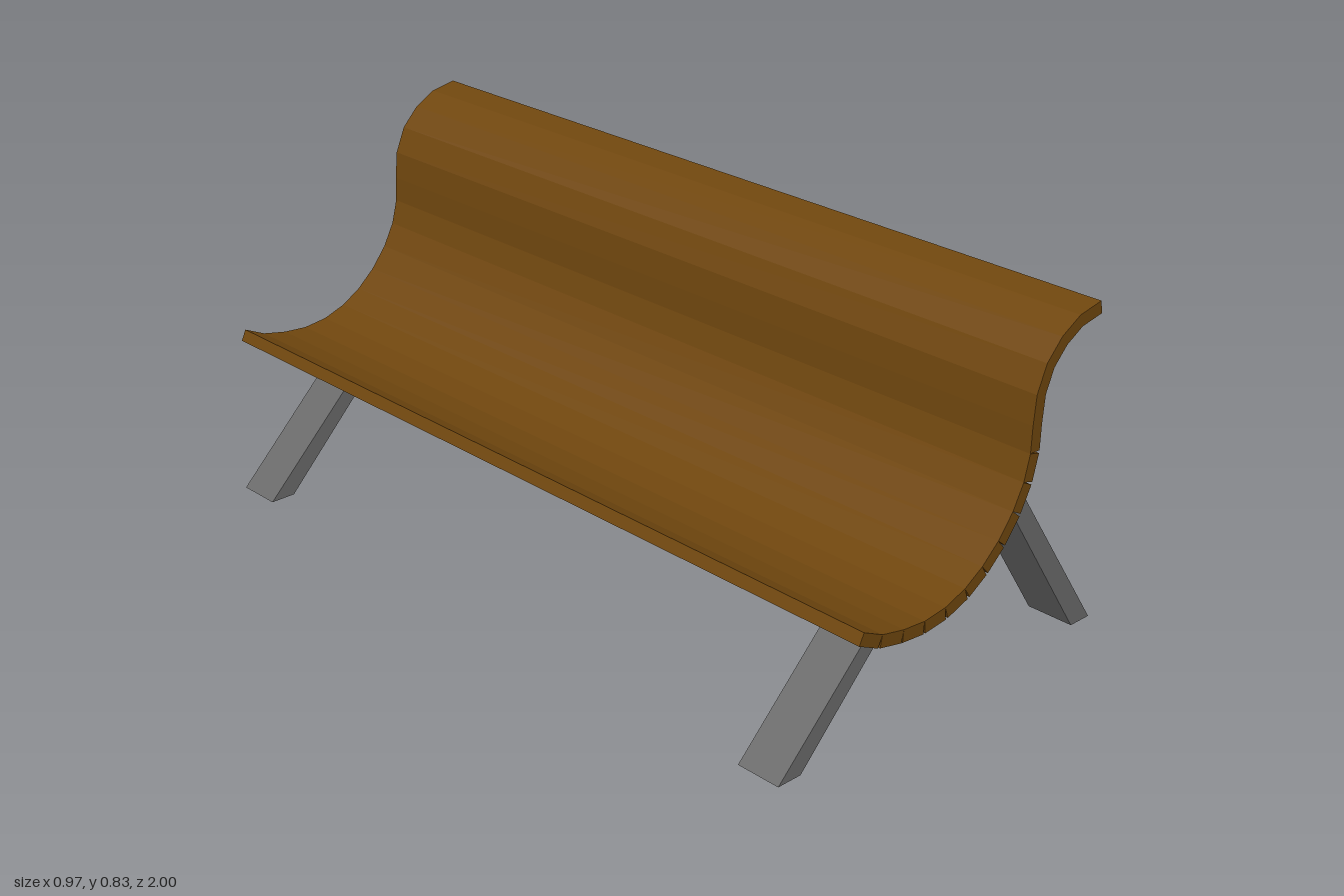
import * as THREE from 'three';

const wood = new THREE.MeshStandardMaterial({ color: 0x6f460e });
wood.name = 'brown wood';
const metal = new THREE.MeshStandardMaterial({ color: 0x6a6a6a });
metal.name = 'grey metal';

// Prism with an outline in x, y, running from z0 to z1
function prism(name, points, z0, z1, material) {
  const shape = new THREE.Shape(points.map(([x, y]) => new THREE.Vector2(x, y)));
  const geometry = new THREE.ExtrudeGeometry(shape, { depth: z1 - z0, bevelEnabled: false });
  geometry.translate(0, 0, z0);
  const mesh = new THREE.Mesh(geometry, material);
  mesh.name = name;
  return mesh;
}

export function createModel() {
  const bench = new THREE.Group();
  bench.name = 'bench';

  // Sitting surface from the front lip to the rolled top of the backrest
  const profile = [
    [-0.384, 0.347], [-0.331, 0.322], [-0.27, 0.309], [-0.21, 0.304], [-0.15, 0.311],
    [-0.093, 0.331], [-0.044, 0.361], [0.001, 0.401], [0.041, 0.451], [0.069, 0.505],
    [0.084, 0.562], [0.086, 0.621], [0.092, 0.685], [0.117, 0.744], [0.159, 0.788],
    [0.212, 0.818], [0.276, 0.83],
  ];
  const thickness = 0.028;

  // Rectangular slats hinged on the sitting surface, so gaps open underneath
  const slats = new THREE.Group();
  slats.name = 'slats';
  for (let i = 0; i < profile.length - 1; i++) {
    const [ax, ay] = profile[i];
    const [bx, by] = profile[i + 1];
    const length = Math.hypot(bx - ax, by - ay);
    const nx = ((by - ay) / length) * thickness;
    const ny = (-(bx - ax) / length) * thickness;
    const outline = [[ax, ay], [ax + nx, ay + ny], [bx + nx, by + ny], [bx, by]];
    slats.add(prism(i < 8 ? 'seatSlat' : 'backSlat', outline, -1, 1, wood));
  }
  bench.add(slats);

  // Slanted legs, one pair near each end
  const frontLeg = [[-0.487, 0], [-0.425, 0], [-0.148, 0.285], [-0.207, 0.277]];
  const backLeg = [[0.425, 0], [0.485, 0], [0.108, 0.556], [0.092, 0.502]];
  for (const side of [-1, 1]) {
    const span = (a, b) => (side > 0 ? [a, b] : [-b, -a]);
    bench.add(prism('frontLeg', frontLeg, ...span(0.779, 0.888), metal));
    bench.add(prism('backLeg', backLeg, ...span(0.767, 0.882), metal));
  }
  return bench;
}
